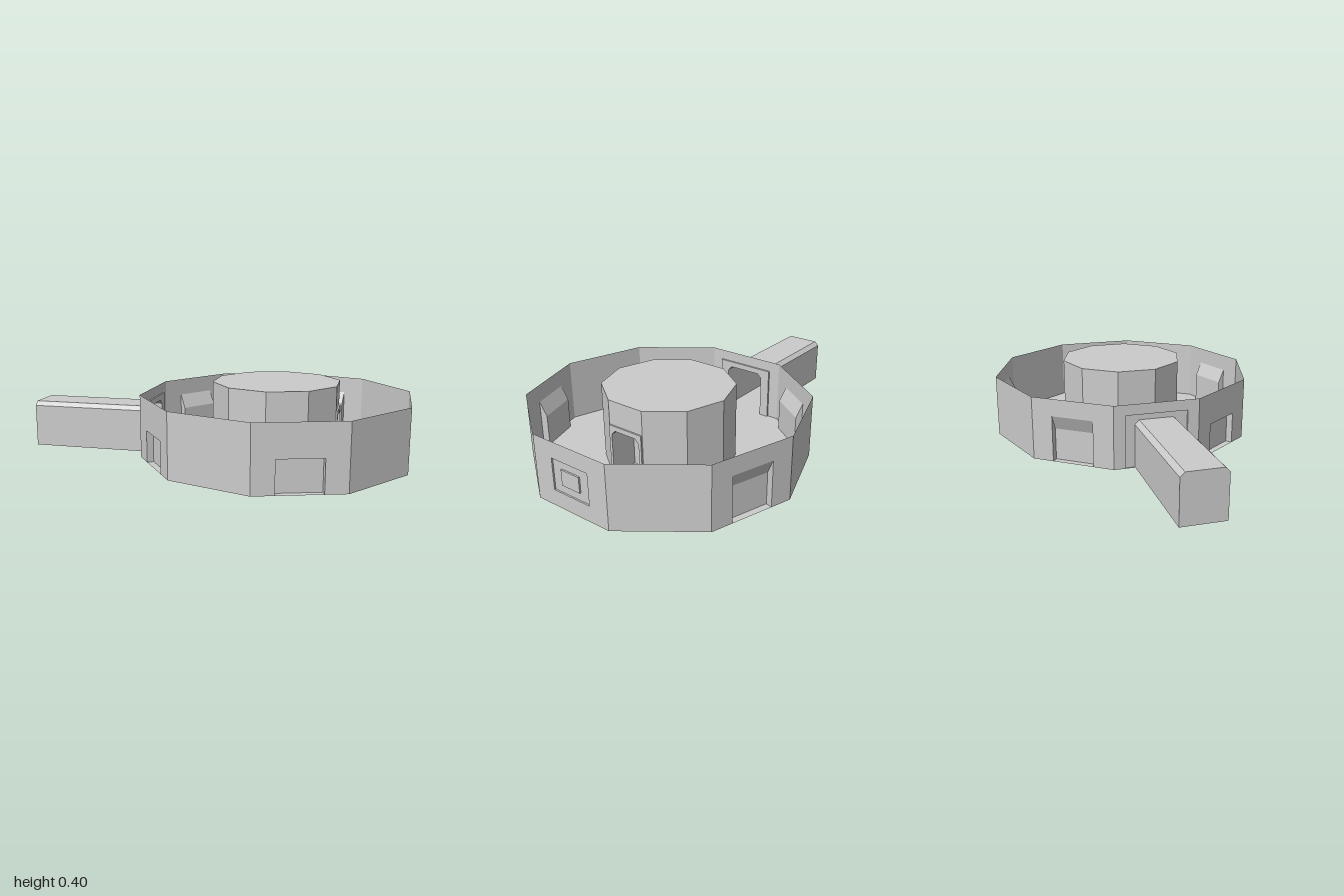
import * as THREE from 'three';

const material = new THREE.MeshStandardMaterial({ color: 0xcccccc, flatShading: true, side: THREE.DoubleSide });
const SIDES = 10, CENTRE_X = 0.325;
const HALL_R = 0.71, HALL_H = 0.33, COLUMN_R = 0.333, COLUMN_H = 0.395;
const COS = Math.cos(Math.PI / SIDES), SIN = Math.sin(Math.PI / SIDES);

function add(parent, geometry, name) {
  const mesh = new THREE.Mesh(geometry, material);
  mesh.name = name;
  parent.add(mesh);
  return mesh;
}

// Outlines are lists of [u, y] points
const rect = (w, y0, y1) => [[-w, y0], [-w, y1], [w, y1], [w, y0]];
const arch = (w, h, c) => [[-w, 0], [-w, h - c], [-w + c, h], [w - c, h], [w, h - c], [w, 0]];
const decagon = r => Array.from({ length: SIDES }, (_, i) => {
  const a = i * 2 * Math.PI / SIDES;
  return [r * Math.sin(a), r * Math.cos(a)];
});

// Flat panel with an optional opening
function panel(parent, name, outline, hole, depth = 0) {
  const shape = new THREE.Shape(outline.map(p => new THREE.Vector2(...p)));
  if (hole) shape.holes.push(new THREE.Path(hole.map(p => new THREE.Vector2(...p))));
  const mesh = add(parent, new THREE.ShapeGeometry(shape), name);
  mesh.position.z = depth;
  return mesh;
}

// Faces joining outline a at depth da to outline b at depth db
function sleeve(parent, name, a, da, b, db, closed = false) {
  const pos = [];
  const n = a.length;
  for (let i = 0; i < (closed ? n : n - 1); i++) {
    const j = (i + 1) % n;
    const p = [...a[i], da], q = [...a[j], da], r = [...b[j], db], s = [...b[i], db];
    pos.push(...p, ...q, ...r, ...p, ...r, ...s);
  }
  const g = new THREE.BufferGeometry();
  g.setAttribute('position', new THREE.Float32BufferAttribute(pos, 3));
  g.computeVertexNormals();
  return add(parent, g, name);
}

// Group whose z = 0 plane lies on one side of a decagon, z pointing outward
function sideFrame(parent, name, degrees, radius) {
  const turn = new THREE.Group();
  turn.name = name;
  turn.rotation.y = THREE.MathUtils.degToRad(degrees);
  const face = new THREE.Group();
  face.name = name + 'Face';
  face.position.z = radius * COS;
  turn.add(face);
  parent.add(turn);
  return face;
}

// Door niche: housing with a sloped roof behind the wall
function doorNiche(face) {
  const outer = rect(0.11, 0, 0.24), inner = rect(0.11, 0, 0.165);
  sleeve(face, 'doorHousing', outer, 0, inner, -0.035);
  panel(face, 'doorPanel', inner, null, -0.035);
}

// Shallow window made of two nested squares
function windowPanel(face) {
  const outer = rect(0.11, 0.083, 0.245), inner = rect(0.055, 0.125, 0.205);
  sleeve(face, 'windowEdge', outer, 0, outer, -0.008, true);
  panel(face, 'windowFrame', outer, inner, -0.008);
  sleeve(face, 'windowInnerEdge', inner, -0.008, inner, 0, true);
  panel(face, 'windowPane', inner);
}

// Corridor leaving through a recessed frame
function corridor(face) {
  const frame = rect(0.16, 0, 0.275), profile = arch(0.11, 0.245, 0.022);
  const end = 1 + CENTRE_X - HALL_R * COS;
  sleeve(face, 'corridorFrameEdge', frame, 0, frame, -0.01);
  panel(face, 'corridorFrame', frame, profile, -0.01);
  sleeve(face, 'corridor', profile, -0.01, profile, end, true);
  panel(face, 'corridorEnd', profile, null, end);
}

// Alcove cut into the column, with a slim raised frame
function alcove(face) {
  const frame = rect(0.1, 0, 0.27), profile = arch(0.085, 0.245, 0.022);
  sleeve(face, 'alcoveFrameEdge', frame, 0, frame, 0.008);
  panel(face, 'alcoveFrame', frame, profile, 0.008);
  sleeve(face, 'alcove', profile, 0.008, profile, -0.14, true);
  panel(face, 'alcoveBack', profile, null, -0.14);
}

export function createModel() {
  const model = new THREE.Group();
  model.name = 'decagonalHall';
  const hall = new THREE.Group();
  hall.name = 'hall';
  hall.position.x = CENTRE_X;
  model.add(hall);

  // Floor, open beneath the column
  panel(hall, 'floor', decagon(HALL_R), decagon(COLUMN_R)).rotation.x = -Math.PI / 2;

  // Wall openings by direction, front doors are lower on the outside
  const low = rect(0.11, 0, 0.165), high = rect(0.11, 0, 0.24);
  const features = {
    18: [low, doorNiche], 306: [low, doorNiche],
    162: [high, doorNiche], 234: [high, doorNiche],
    90: [rect(0.11, 0.083, 0.245), windowPanel],
    270: [rect(0.16, 0, 0.275), corridor],
  };

  for (let i = 0; i < SIDES; i++) {
    const angle = 18 + 36 * i;

    // Outer wall; openings reaching the floor become part of its outline
    const wall = sideFrame(hall, 'wall', angle, HALL_R);
    const [opening, build] = features[angle] || [];
    const outline = rect(HALL_R * SIN, 0, HALL_H);
    const toFloor = opening && opening[0][1] === 0;
    if (toFloor) outline.push(...[...opening].reverse());
    panel(wall, 'wallPanel', outline, toFloor ? null : opening);
    if (build) build(wall);

    // Central column side
    const side = sideFrame(hall, 'column', angle, COLUMN_R);
    const columnOutline = rect(COLUMN_R * SIN, 0, COLUMN_H);
    if (angle === 90) {
      columnOutline.push(...rect(0.1, 0, 0.27).reverse());
      alcove(side);
    }
    panel(side, 'columnPanel', columnOutline);
  }

  // Column top
  const top = panel(hall, 'columnTop', decagon(COLUMN_R));
  top.rotation.x = -Math.PI / 2;
  top.position.y = COLUMN_H;

  return model;
}
